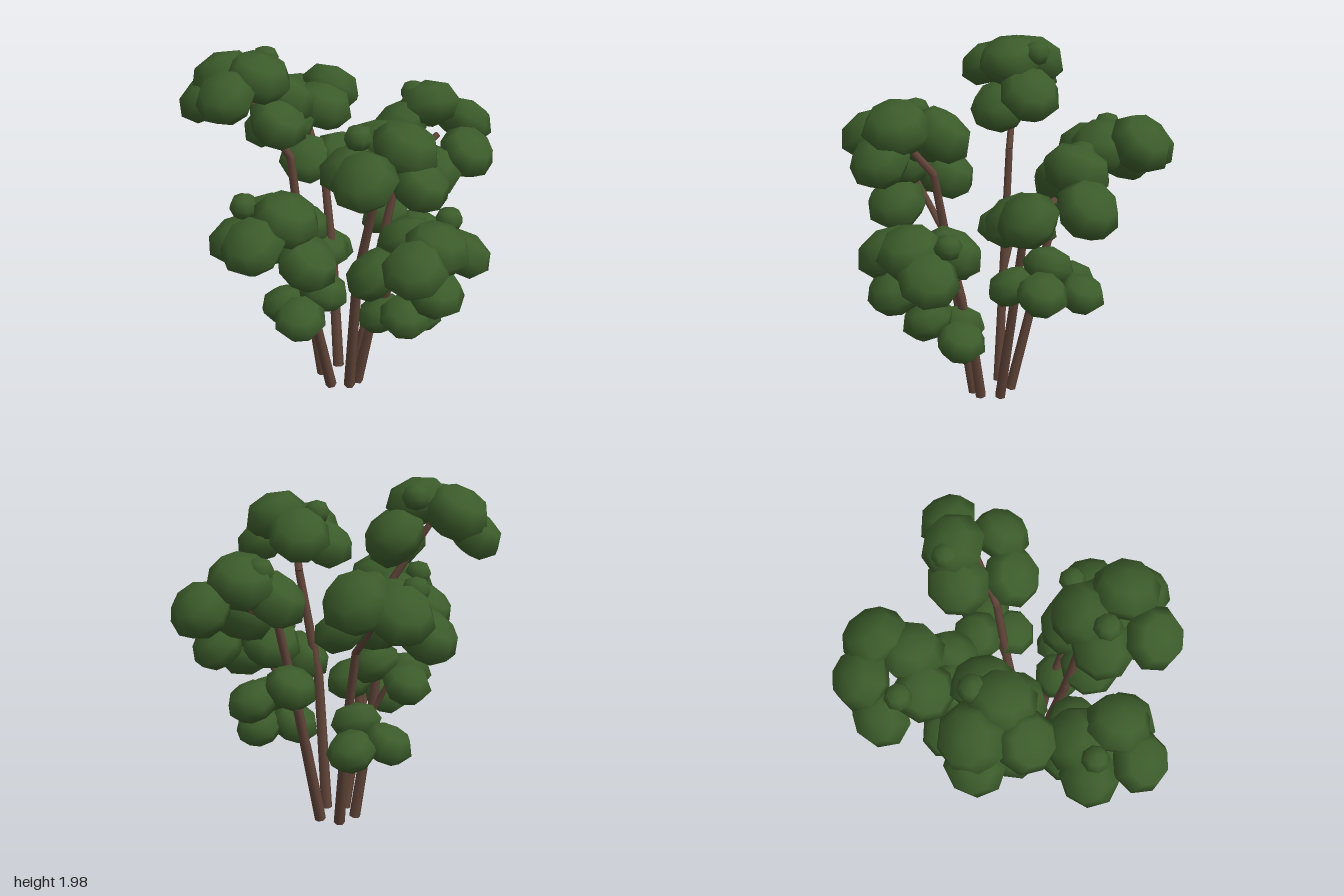
import * as THREE from 'three';

const leafMat = new THREE.MeshStandardMaterial({ color: 0x3c5c2b });
leafMat.name = 'leaf green';
const barkMat = new THREE.MeshStandardMaterial({ color: 0x604438 });
barkMat.name = 'bark brown';

const UP = new THREE.Vector3(0, 1, 0);
const blobGeo = new THREE.SphereGeometry(1, 8, 4);
const vec = p => new THREE.Vector3(...p);

// Tapered six-sided stem through a few points
function stem(name, pts, r0, r1) {
  const g = new THREE.Group();
  g.name = name;
  const n = pts.length - 1;
  const radius = k => r0 + (r1 - r0) * k / n;
  for (let i = 0; i < n; i++) {
    const dir = pts[i + 1].clone().sub(pts[i]);
    const geo = new THREE.CylinderGeometry(radius(i + 1), radius(i), dir.length(), 6);
    const m = new THREE.Mesh(geo, barkMat);
    m.name = name + 'Segment';
    m.position.copy(pts[i]).addScaledVector(dir, 0.5);
    m.quaternion.setFromUnitVectors(UP, dir.normalize());
    g.add(m);
  }
  return g;
}

// One leaf blob, flattened and leaning along a sideways vector
function blob(name, pos, r, flat, lean, spin) {
  const m = new THREE.Mesh(blobGeo, leafMat);
  m.name = name;
  m.position.copy(pos);
  m.scale.set(r, r * flat, r);
  m.quaternion.setFromUnitVectors(UP, lean.clone().setY(1).normalize());
  m.rotateY(spin);
  return m;
}

// Blobs leaning away from their shared middle, shrinking slightly in order
function foliage(name, points, mid, r) {
  const g = new THREE.Group();
  g.name = name;
  points.forEach((p, i) => {
    const lean = p.clone().sub(mid).setY(0).multiplyScalar(3.5).clampLength(0, 0.8);
    g.add(blob('leafBlob', p, r - 0.005 * i, 0.72, lean, i * 0.9));
  });
  return g;
}

// Three blobs around a centre, the first one highest
function trio(centre, spin) {
  return [0.05, -0.03, -0.04].map((dy, i) => {
    const a = spin + i * Math.PI * 2 / 3;
    return centre.clone().add(new THREE.Vector3(Math.cos(a) * 0.12, dy, Math.sin(a) * 0.12));
  });
}

// A whole plant: stem from the base ring to the middle of its top foliage,
// a small bud, and optionally a side twig with low foliage
function plant(name, { angle, bends, top, bud, low, spin }) {
  const g = new THREE.Group();
  g.name = name + 'Plant';
  const points = top.map(vec);
  const mid = new THREE.Vector3();
  points.forEach(p => mid.addScaledVector(p, 1 / points.length));
  const base = new THREE.Vector3(Math.cos(angle) * 0.11, 0.005, Math.sin(angle) * 0.11);
  const path = bends.map(vec);
  g.add(stem(name + 'Stem', [base, ...path, mid], 0.032, 0.018));
  g.add(foliage(name + 'TopFoliage', points, mid, 0.188));
  g.add(blob('leafBud', vec(bud), 0.078, 0.9, new THREE.Vector3(), 0));
  if (low) {
    const centre = vec(low);
    g.add(stem(name + 'Twig', [path[0], centre], 0.02, 0.014));
    g.add(foliage(name + 'LowFoliage', trio(centre, spin), centre, 0.15));
  }
  return g;
}

export function createModel() {
  const model = new THREE.Group();
  model.name = 'shrub';
  model.add(plant('front', {
    angle: 1.66,
    bends: [[-0.05, 0.5, 0.23], [-0.02, 0.9, 0.32]],
    top: [[-0.2, 1.2, 0.43], [-0.03, 1.3, 0.59], [0.08, 1.07, 0.58], [-0.12, 1.22, 0.79], [-0.32, 1.13, 0.6]],
    bud: [-0.27, 1.33, 0.6],
    low: [-0.05, 0.69, 0.38], spin: -0.87,
  }));
  model.add(plant('frontLeft', {
    angle: 0.66,
    bends: [[0.17, 0.78, 0.15], [0.3, 1.38, 0.18]],
    top: [[0.49, 1.67, 0.28], [0.28, 1.6, 0.14], [0.38, 1.57, 0.53], [0.2, 1.52, 0.33], [0.59, 1.51, 0.32]],
    bud: [0.25, 1.7, 0.32],
  }));
  model.add(plant('left', {
    angle: 0.05,
    bends: [[0.19, 0.4, 0.01], [0.33, 0.75, 0.02]],
    top: [[0.62, 1.05, 0.12], [0.57, 1, 0.3], [0.4, 1, 0], [0.3, 0.87, 0.22], [0.71, 0.96, -0.05], [0.65, 0.83, 0.2]],
    bud: [0.6, 1.12, -0.1],
    low: [0.39, 0.55, 0.03], spin: 1,
  }));
  model.add(plant('backLeft', {
    angle: -1.01,
    bends: [[0.13, 0.7, -0.23], [0.2, 1.24, -0.34]],
    top: [[0.25, 1.53, -0.65], [0.12, 1.42, -0.53], [0.38, 1.25, -0.36], [0.41, 1.4, -0.8], [0.53, 1.33, -0.53]],
    bud: [0.16, 1.59, -0.63],
    low: [0.21, 0.85, -0.39], spin: 3.3,
  }));
  model.add(plant('backRight', {
    angle: -2.13,
    bends: [[-0.15, 0.65, -0.21], [-0.23, 1.1, -0.28]],
    top: [[-0.4, 1.5, -0.7], [-0.35, 1.47, -0.5], [-0.61, 1.44, -0.64], [-0.69, 1.3, -0.47],
      [-0.48, 1.42, -0.33], [-0.33, 1.24, -0.25], [-0.18, 1.24, -0.37]],
    bud: [-0.6, 1.51, -0.4],
    low: [-0.3, 0.64, -0.32], spin: 0.79,
  }));
  model.add(plant('right', {
    angle: 2.97,
    bends: [[-0.2, 0.65, 0.04], [-0.28, 1.38, 0.05]],
    top: [[-0.65, 1.81, 0.1], [-0.42, 1.85, 0.13], [-0.35, 1.69, -0.04], [-0.31, 1.61, 0.13],
      [-0.51, 1.79, 0.33], [-0.73, 1.69, 0.17]],
    bud: [-0.46, 1.9, -0.02],
    low: [-0.34, 0.91, 0.04], spin: -0.35,
  }));
  return model;
}
